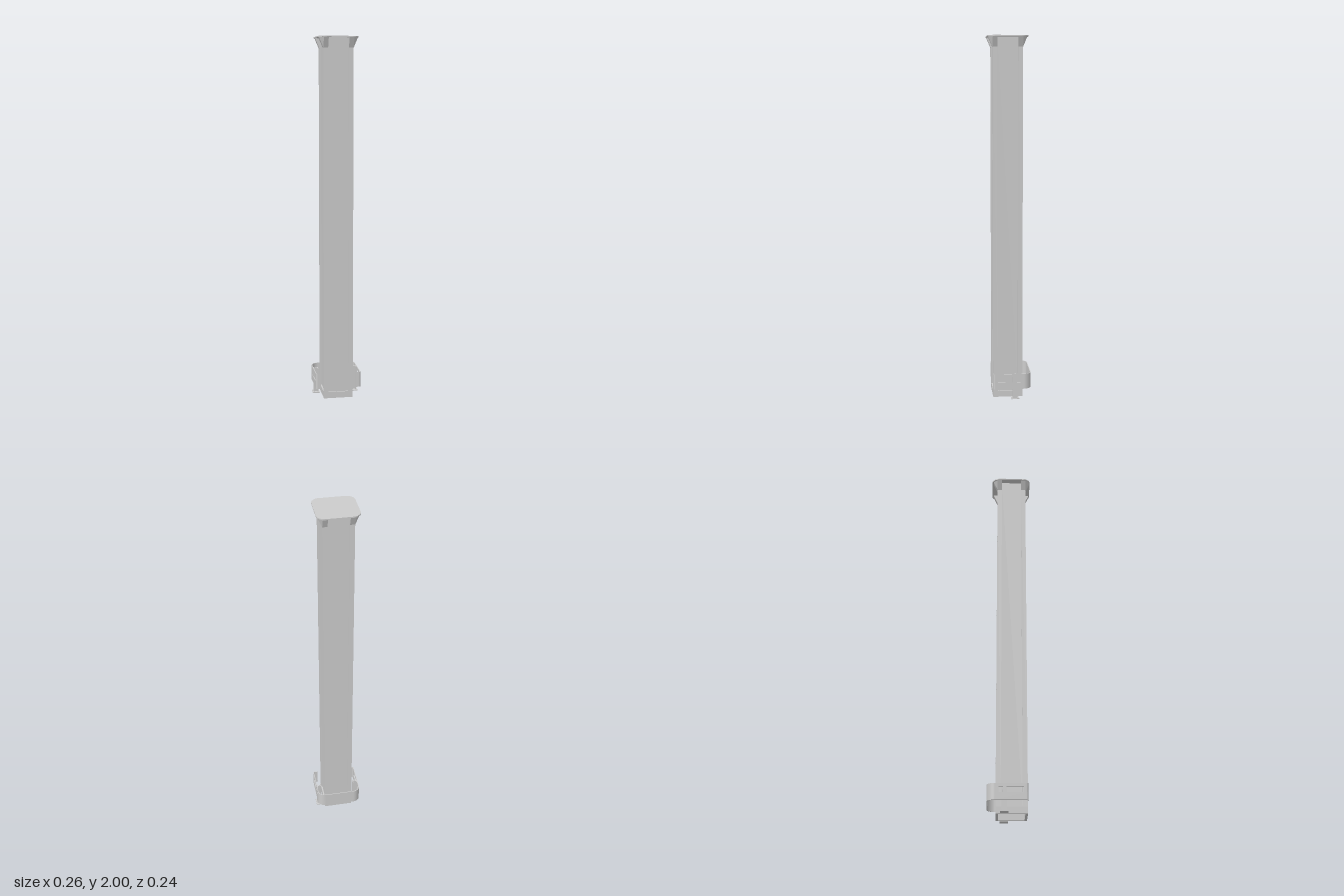
import * as THREE from 'three';
import { ConvexGeometry } from 'three/addons/geometries/ConvexGeometry.js';

const material = new THREE.MeshStandardMaterial({ color: 0xcccccc, side: THREE.DoubleSide });
const CENTRE_Z = 0.008; // axis of the column

function add(parent, name, geometry) {
  const mesh = new THREE.Mesh(geometry, material);
  mesh.name = name;
  parent.add(mesh);
  return mesh;
}

// Extrudes a plan outline (shape y = -z) upward from y0 to y1
function upright(shape, y0, y1) {
  const g = new THREE.ExtrudeGeometry(shape, { depth: y1 - y0, bevelEnabled: false, curveSegments: 10 });
  return g.rotateX(-Math.PI / 2).translate(0, y0, 0);
}

function rect(x0, y0, x1, y1, Type = THREE.Shape) {
  const p = new Type();
  p.moveTo(x0, y0).lineTo(x1, y0).lineTo(x1, y1).lineTo(x0, y1).closePath();
  return p;
}

// Square outline with a shallow recess in the middle of every side
function recessedOutline(half, edge, depth) {
  const pts = [];
  for (let i = 0; i < 4; i++) {
    const turn = (x, y) => pts.push(new THREE.Vector2(x, y).rotateAround(new THREE.Vector2(), i * Math.PI / 2));
    turn(half, -half);
    turn(half, -edge);
    turn(half - depth, -edge);
    turn(half - depth, edge);
    turn(half, edge);
  }
  return new THREE.Shape(pts);
}

function buildColumn() {
  const column = new THREE.Group();
  column.name = 'column';
  column.position.z = CENTRE_Z;
  const hole = () => rect(-0.069, -0.069, 0.069, 0.069, THREE.Path);

  // Hollow shaft with recessed panels, and the plain collar at its foot
  const shaft = recessedOutline(0.082, 0.056, 0.008);
  shaft.holes.push(hole());
  add(column, 'panelledShaft', upright(shaft, 0.035, 1.996));
  const collar = rect(-0.082, -0.082, 0.082, 0.082);
  collar.holes.push(hole());
  add(column, 'footCollar', upright(collar, 0, 0.035));

  // Flared brackets carrying the cap at the four corners
  const bottom = [[0.056, 0.082], [0.082, 0.082], [0.082, 0.056], [0.056, 0.056]];
  const top = [[0.056, 0.106], [0.082, 0.106], [0.106, 0.082], [0.106, 0.056], [0.056, 0.056]];
  for (const sx of [-1, 1]) for (const sz of [-1, 1]) {
    const place = (list, y) => list.map(([x, z]) => new THREE.Vector3(sx * x, y, sz * z));
    add(column, 'flaredCorner', new ConvexGeometry([...place(bottom, 1.94), ...place(top, 1.996)]));
  }
  return column;
}

// Thin cap plate with softened chamfered corners
function buildCap(group) {
  const h = 0.111, c = 0.08;
  const s = new THREE.Shape();
  for (let i = 0; i < 4; i++) {
    const at = (x, y) => new THREE.Vector2(x, y).rotateAround(new THREE.Vector2(), i * Math.PI / 2);
    const [a, b, d, e, f, g] = [[h, c - 0.01], [h, c], [h - 0.007, c + 0.011],
      [c + 0.011, h - 0.007], [c, h], [c - 0.01, h]].map(p => at(...p));
    if (i === 0) s.moveTo(a.x, a.y); else s.lineTo(a.x, a.y);
    s.quadraticCurveTo(b.x, b.y, d.x, d.y);
    s.lineTo(e.x, e.y);
    s.quadraticCurveTo(f.x, f.y, g.x, g.y);
  }
  s.closePath();
  add(group, 'capPlate', upright(s, 1.994, 2)).position.z = 0.006;
}

// U-shaped strap round the back, with slotted sides and hooked front ends
function buildStrap() {
  const strap = new THREE.Group();
  strap.name = 'strap';
  const X = 0.127, T = 0.004, Y0 = 0.058, Y1 = 0.144, R = 0.042, BACK = 0.12;

  // Back band with its two rounded corners
  const bend = new THREE.Shape();
  bend.moveTo(X, BACK - R);
  bend.absarc(X - R, BACK - R, R, 0, Math.PI / 2, false);
  bend.absarc(R - X, BACK - R, R, Math.PI / 2, Math.PI, false);
  bend.lineTo(T - X, BACK - R);
  bend.absarc(R - X, BACK - R, R - T, Math.PI, Math.PI / 2, true);
  bend.absarc(X - R, BACK - R, R - T, Math.PI / 2, 0, true);
  bend.closePath();
  add(strap, 'strapBack', upright(bend, Y0, Y1));

  for (const side of [-1, 1]) {
    // Side plate, drawn in z and y
    const plate = rect(-(BACK - R), Y0, 0.081, Y1);
    plate.holes.push(rect(-0.02, 0.096, 0.068, 0.127, THREE.Path));
    plate.holes.push(rect(-0.06, 0.096, -0.038, 0.127, THREE.Path));
    const g = new THREE.ExtrudeGeometry(plate, { depth: T, bevelEnabled: false });
    g.rotateY(-Math.PI / 2); // shape x -> +z, depth -> -x
    add(strap, 'strapSide', g).position.x = side > 0 ? X : T - X;

    // Front hook turning in toward the column
    const r = 0.011, hook = new THREE.Shape();
    hook.moveTo(side * X, -0.081);
    hook.quadraticCurveTo(side * X, -0.081 - r, side * (X - r), -0.081 - r);
    hook.lineTo(side * 0.1, -0.081 - r);
    hook.lineTo(side * 0.1, -0.081 - r + T);
    hook.lineTo(side * (X - r), -0.081 - r + T);
    hook.quadraticCurveTo(side * (X - T), -0.081 - r + T, side * (X - T), -0.081);
    hook.closePath();
    add(strap, 'strapHook', upright(hook, Y0, Y1));
  }
  return strap;
}

// I-section post on a small base plate
function buildFoot(side) {
  const foot = new THREE.Group();
  foot.name = side > 0 ? 'leftFoot' : 'rightFoot';
  foot.position.set(side * 0.11, 0, -0.03);
  const box = (name, w, h, d, x, y) =>
    add(foot, name, new THREE.BoxGeometry(w, h, d)).position.set(x, y + h / 2, 0);
  box('basePlate', 0.04, 0.005, 0.044, 0, 0);
  for (const s of [-1, 1]) box('postFlange', 0.004, 0.137, 0.028, s * 0.0105, 0.005);
  box('postWeb', 0.018, 0.137, 0.004, 0, 0.005);
  return foot;
}

export function createModel() {
  const group = new THREE.Group();
  group.name = 'post';
  group.add(buildColumn());
  buildCap(group);
  group.add(buildStrap(), buildFoot(1), buildFoot(-1));
  return group;
}
